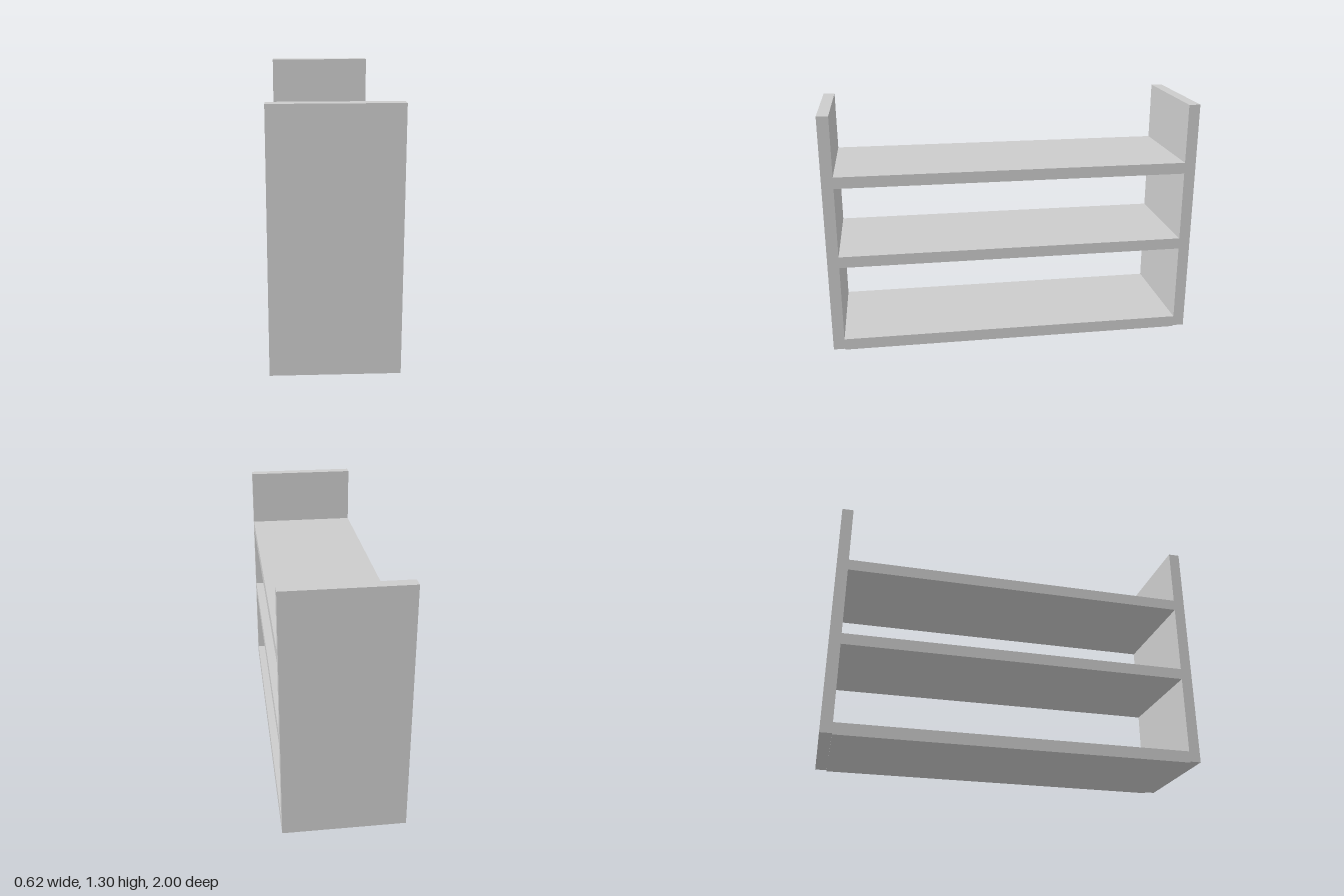
import * as THREE from 'three';

const WIDTH = 0.625;  // along x
const LENGTH = 2;     // along z
const HEIGHT = 1.304;
const BOARD = 0.061;  // board thickness
const PANEL_LIFT = 0.006; // end panels stop just above the bottom shelf's underside

export function createModel() {
  const group = new THREE.Group();
  group.name = 'shelfUnit';
  const material = new THREE.MeshStandardMaterial({ color: 0xcccccc });

  function addBoard(name, height, length, bottom, z) {
    const mesh = new THREE.Mesh(new THREE.BoxGeometry(WIDTH, height, length), material);
    mesh.name = name;
    mesh.position.set(0, bottom + height / 2, z);
    group.add(mesh);
  }

  // Upright end panels
  const panelZ = (LENGTH - BOARD) / 2;
  addBoard('frontPanel', HEIGHT - PANEL_LIFT, BOARD, PANEL_LIFT, panelZ);
  addBoard('backPanel', HEIGHT - PANEL_LIFT, BOARD, PANEL_LIFT, -panelZ);

  // Shelves spanning between the panels
  const shelfLength = LENGTH - 2 * BOARD;
  addBoard('bottomShelf', BOARD + 0.002, shelfLength, 0, 0);
  addBoard('middleShelf', BOARD, shelfLength, 0.486, 0);
  addBoard('topShelf', BOARD, shelfLength, 0.925, 0);

  return group;
}
